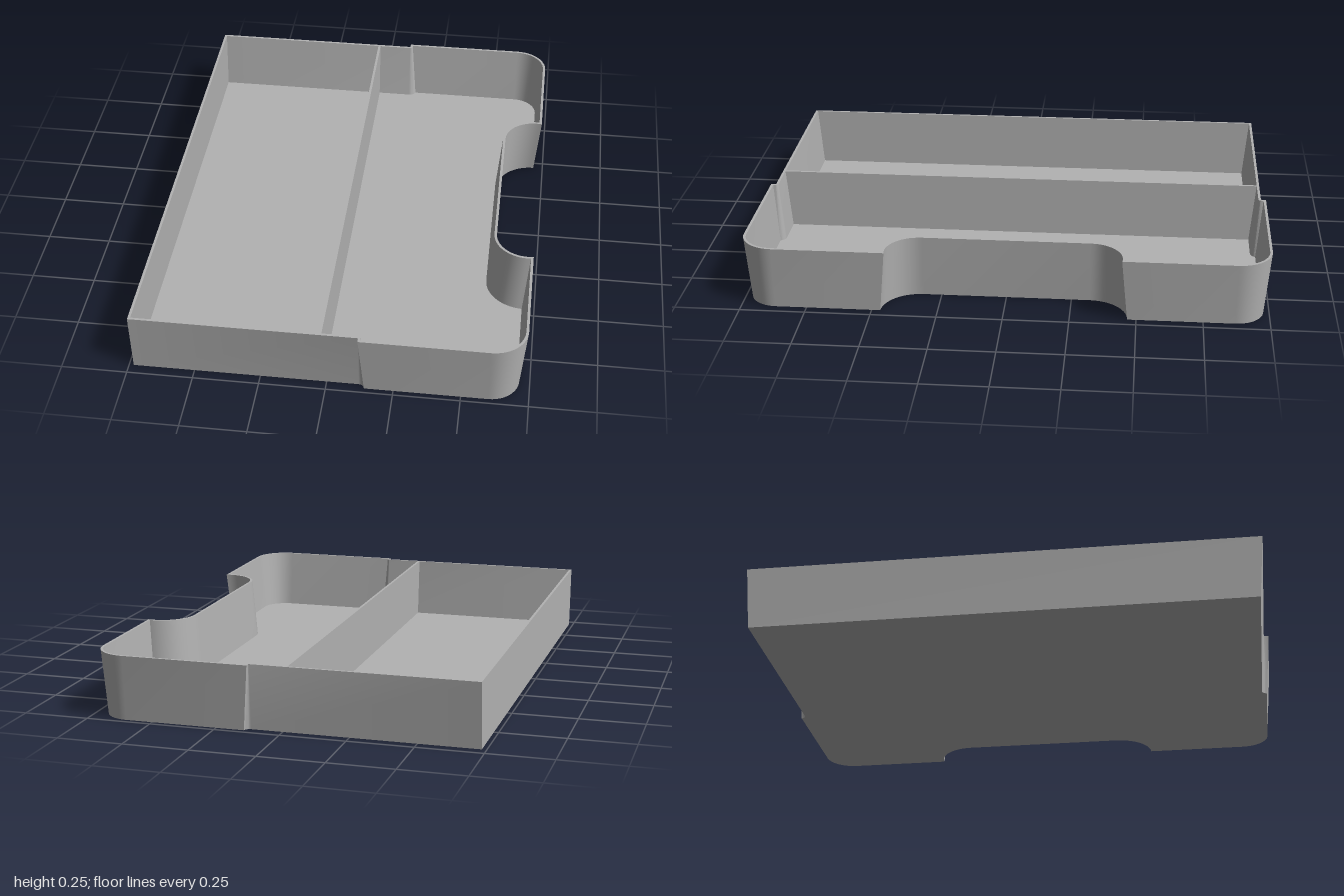
import * as THREE from 'three';
import { toCreasedNormals } from 'three/addons/utils/BufferGeometryUtils.js';

const HEIGHT = 0.25, FLOOR = 0.01, WALL = 0.01;
const DRAFT = 0.0215; // how far the walls lean in from rim to base
const LEFT = -0.7325, RIGHT = 0.7325;
const NARROW = 0.98, WIDE = 1, STEP_X = 0.12;

// Points [x, z] of the tray outline, moved inward by d; the left end is moved by endInset
function outline(d, endInset) {
  const half = [[LEFT + endInset, NARROW - d]];
  const arc = (cx, cz, r, from, to, n) => {
    for (let i = 0; i <= n; i++) {
      const a = from + (to - from) * i / n;
      half.push([cx + r * Math.cos(a), cz + r * Math.sin(a)]);
    }
  };
  // small step where the tray widens
  const step = WIDE - NARROW;
  const stepEnd = d > step ? Math.asin((step - d) / d) : 0;
  arc(STEP_X, NARROW, d, -Math.PI / 2, stepEnd, 6);
  half.push([STEP_X + d * Math.cos(stepEnd), WIDE - d]);
  // rounded outer corner
  const R = 0.13;
  arc(RIGHT - R, WIDE - R, R - d, Math.PI / 2, 0, 12);
  // hollow corner of the cut-out
  const cx = 0.71, r = 0.125 + d;
  arc(cx, 0.32, r, Math.acos((RIGHT - d - cx) / r), Math.PI, 14);
  return [...half, ...half.slice().reverse().map(([x, z]) => [x, -z])];
}

function trayGeometry() {
  const lean = y => DRAFT * (1 - y / HEIGHT);
  const rings = [[0, 0], [HEIGHT, 0], [HEIGHT, WALL], [FLOOR, WALL]].map(([y, inset]) =>
    outline(lean(y) + inset, inset).map(([x, z]) => [x, y, z]));
  const pos = [], n = rings[0].length;
  const tri = (a, b, c) => pos.push(...a, ...b, ...c);
  // outer wall, rim and inner wall
  for (let k = 0; k < 3; k++) {
    for (let i = 0; i < n; i++) {
      const j = (i + 1) % n, lo = rings[k], hi = rings[k + 1];
      tri(lo[i], lo[j], hi[j]);
      tri(lo[i], hi[j], hi[i]);
    }
  }
  // floor and underside
  const cap = (ring, up) => {
    const flat = ring.map(p => new THREE.Vector2(p[0], -p[2]));
    for (const [a, b, c] of THREE.ShapeUtils.triangulateShape(flat, [])) {
      if (up) tri(ring[a], ring[b], ring[c]);
      else tri(ring[a], ring[c], ring[b]);
    }
  };
  cap(rings[3], true);
  cap(rings[0], false);
  const geo = new THREE.BufferGeometry();
  geo.setAttribute('position', new THREE.Float32BufferAttribute(pos, 3));
  return toCreasedNormals(geo, 0.5);
}

export function createModel() {
  const group = new THREE.Group();
  const grey = new THREE.MeshStandardMaterial({ color: 0xb2b2b2 });
  grey.name = 'grey';

  const tray = new THREE.Mesh(trayGeometry(), grey);
  tray.name = 'tray';
  group.add(tray);

  // upright divider, its ends following the leaning side walls
  const top = NARROW - WALL, low = top - DRAFT;
  const shape = new THREE.Shape([[-low, 0.005], [low, 0.005], [top, HEIGHT], [-top, HEIGHT]]
    .map(p => new THREE.Vector2(...p)));
  const geo = new THREE.ExtrudeGeometry(shape, { depth: WALL, bevelEnabled: false });
  geo.translate(0, 0, -WALL / 2).rotateY(Math.PI / 2);
  const divider = new THREE.Mesh(geo, grey);
  divider.name = 'divider';
  divider.position.x = -0.02;
  group.add(divider);
  return group;
}
